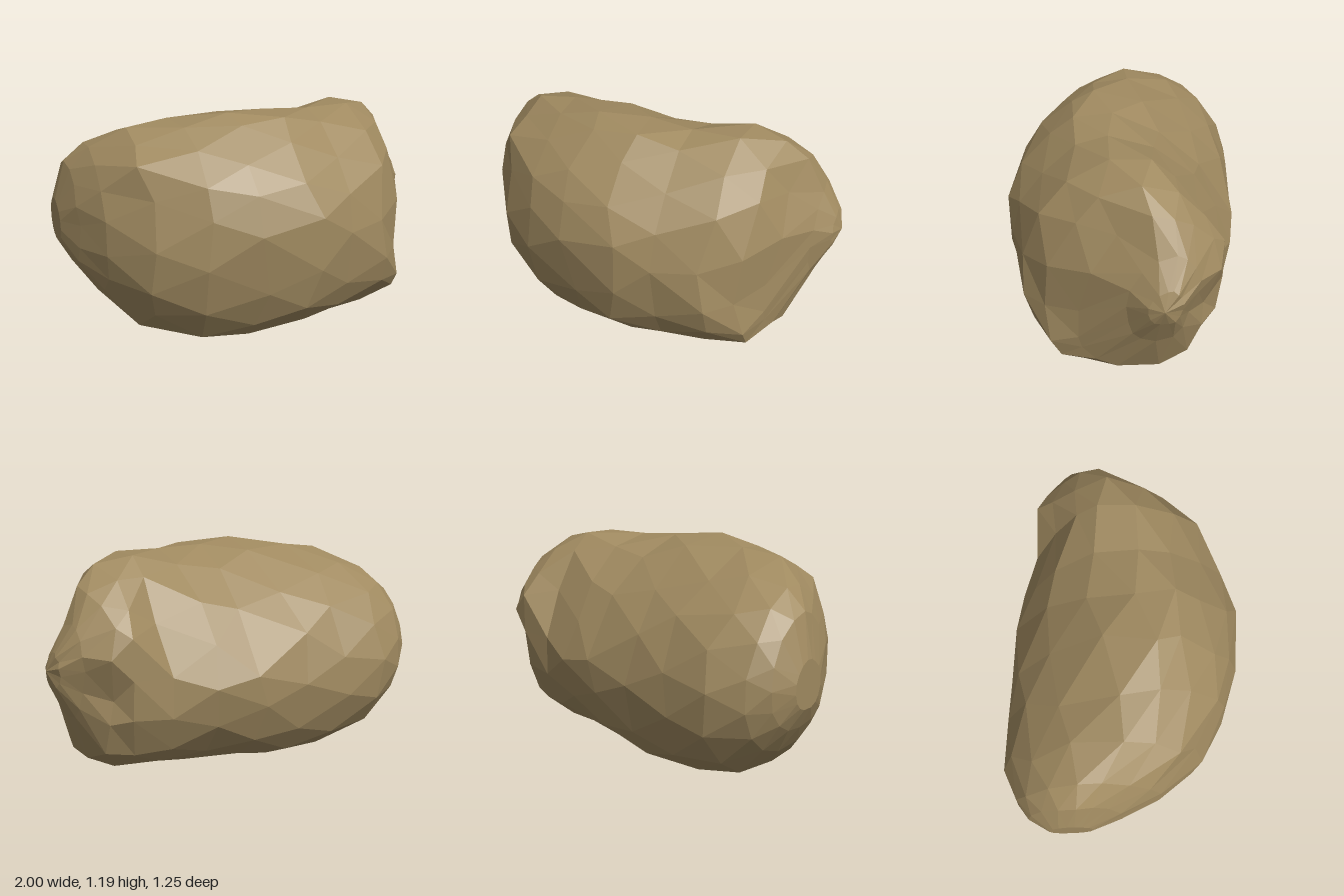
import * as THREE from 'three';

// Cross-sections along x: [x, bottom y, bottom z, top y, top z, back z, back y, front z, front y]
const SECTIONS = [
  [-1.0, 0.50, -0.29, 0.73, -0.29, -0.40, 0.62, -0.18, 0.62],
  [-0.94, 0.39, -0.25, 0.93, -0.25, -0.50, 0.62, -0.02, 0.65],
  [-0.85, 0.26, -0.20, 1.03, -0.18, -0.57, 0.60, 0.17, 0.65],
  [-0.68, 0.10, -0.10, 1.12, -0.02, -0.63, 0.57, 0.38, 0.66],
  [-0.44, 0.02, 0.02, 1.15, 0.06, -0.62, 0.57, 0.53, 0.66],
  [-0.20, 0.00, 0.06, 1.20, 0.15, -0.59, 0.55, 0.59, 0.66],
  [0.06, 0.05, 0.10, 1.20, 0.18, -0.58, 0.55, 0.64, 0.66],
  [0.29, 0.07, 0.10, 1.17, 0.08, -0.52, 0.55, 0.58, 0.62],
  [0.50, 0.08, 0.08, 1.18, 0.00, -0.46, 0.58, 0.53, 0.56],
  [0.67, 0.10, 0.08, 1.13, -0.06, -0.46, 0.68, 0.43, 0.46],
  [0.78, 0.19, 0.00, 1.04, -0.12, -0.43, 0.70, 0.27, 0.38],
  [0.89, 0.42, -0.10, 0.89, -0.19, -0.32, 0.69, 0.04, 0.62],
  [0.97, 0.58, -0.14, 0.76, -0.16, -0.22, 0.68, -0.06, 0.66],
];

// Hollows: centre, radius and how far the surface is pushed
const HOLLOWS = [
  { at: [0.45, 0.82, -0.42], r: 0.17, push: [0, -0.02, 0.06] },
  { at: [0.05, 1.00, -0.35], r: 0.25, push: [0, -0.03, 0.03] },
  { at: [0.80, 0.54, -0.36], r: 0.16, push: [-0.03, 0, 0.09] },
  { at: [0.00, 1.06, 0.45], r: 0.25, push: [0, -0.05, -0.03] },
  { at: [0.76, 0.55, 0.18], r: 0.14, push: [-0.02, 0, -0.04] },
];

const SIDES = 16;

function seeded(seed) {
  return () => {
    seed = (seed * 16807) % 2147483647;
    return seed / 2147483647 - 0.5;
  };
}

// Point on a section: four rounded quadrants joining its extreme points
function sectionPoint([x, yBot, zBot, yTop, zTop, zBack, yBack, zFront, yFront], angle) {
  const c = Math.cos(angle), s = Math.sin(angle);
  const up = s >= 0, front = c >= 0;
  const zMid = up ? zTop : zBot;
  const yMid = front ? yFront : yBack;
  const power = up ? (front ? 1.08 : 1.15) : (front ? 0.78 : 0.85);
  const w = Math.abs(c) ** power, h = Math.abs(s) ** power;
  return new THREE.Vector3(
    x,
    yMid + ((up ? yTop : yBot) - yMid) * h,
    zMid + ((front ? zFront : zBack) - zMid) * w
  );
}

function rockGeometry() {
  const rand = seeded(4711);
  const points = [], index = [];
  const last = SECTIONS.length - 1;

  // Staggered rings with slightly irregular corners
  SECTIONS.forEach((section, i) => {
    const rough = i < 3 || i > last - 2 ? 0.2 : 1;
    for (let j = 0; j < SIDES; j++) {
      const stagger = i % 2 ? 0 : 0.5;
      const angle = ((j + stagger + rand() * 0.35 * rough) / SIDES) * Math.PI * 2;
      const p = sectionPoint(section, angle);
      if (i > 0) p.x += rand() * 0.07 * rough;
      p.y += rand() * 0.025 * rough;
      p.z += rand() * 0.025 * rough;
      for (const { at, r, push } of HOLLOWS) {
        const d = p.distanceTo(new THREE.Vector3(...at)) / r;
        p.addScaledVector(new THREE.Vector3(...push), Math.exp(-d * d));
      }
      points.push(p);
    }
  });

  // Facets between neighbouring rings
  for (let i = 0; i < last; i++) {
    for (let j = 0; j < SIDES; j++) {
      const k = (j + 1) % SIDES;
      const a = i * SIDES + j, a2 = i * SIDES + k;
      const b = a + SIDES, b2 = a2 + SIDES;
      if (i % 2) index.push(a, b, a2, b, b2, a2);
      else index.push(a, b, b2, a, b2, a2);
    }
  }

  // Closed ends
  const startTip = points.push(new THREE.Vector3(-1.0, 0.62, -0.29)) - 1;
  const endTip = points.push(new THREE.Vector3(1.0, 0.67, -0.13)) - 1;
  for (let j = 0; j < SIDES; j++) {
    const k = (j + 1) % SIDES;
    index.push(startTip, j, k, endTip, last * SIDES + k, last * SIDES + j);
  }

  const geometry = new THREE.BufferGeometry().setFromPoints(points);
  geometry.setIndex(index);
  geometry.computeVertexNormals();
  return geometry;
}

export function createModel() {
  const group = new THREE.Group();
  group.name = 'rock';
  const material = new THREE.MeshStandardMaterial({ color: 0xa08a60, flatShading: true });
  const boulder = new THREE.Mesh(rockGeometry(), material);
  boulder.name = 'boulder';
  group.add(boulder);
  return group;
}
